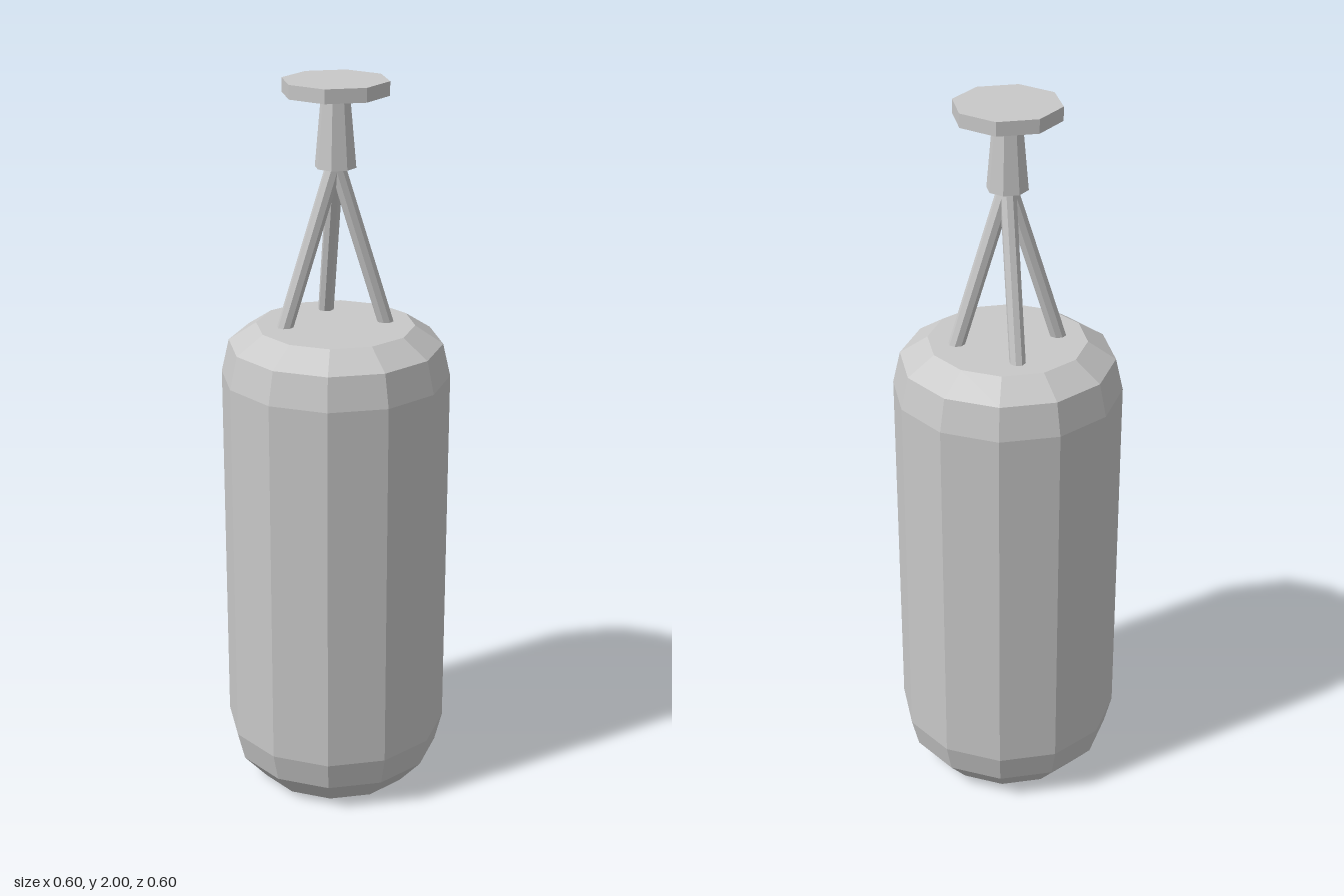
import * as THREE from 'three';

const steel = new THREE.MeshStandardMaterial({ color: 0xc8c8c8, flatShading: true });
steel.name = 'plain grey';

// Faceted solid from [flat-to-flat half width, y] rings, with flats facing the axes.
function faceted(name, sides, rings) {
  const k = 1 / Math.cos(Math.PI / sides);
  const points = [
    new THREE.Vector2(0, rings[0][1]),
    ...rings.map(([r, y]) => new THREE.Vector2(r * k, y)),
    new THREE.Vector2(0, rings[rings.length - 1][1]),
  ];
  const mesh = new THREE.Mesh(new THREE.LatheGeometry(points, sides, Math.PI / sides), steel);
  mesh.name = name;
  return mesh;
}

// Straight octagonal rod between two points.
function rod(name, from, to, radius) {
  const dir = to.clone().sub(from);
  const mesh = faceted(name, 8, [[radius, 0], [radius, dir.length()]]);
  mesh.position.copy(from);
  mesh.quaternion.setFromUnitVectors(new THREE.Vector3(0, 1, 0), dir.normalize());
  return mesh;
}

export function createModel() {
  const model = new THREE.Group();
  model.name = 'hangingBag';

  // Twelve-sided bag with bevelled ends
  model.add(faceted('bag', 12, [
    [0.215, 0], [0.28, 0.077], [0.3, 0.16], [0.3, 1.205], [0.28, 1.295], [0.207, 1.345],
  ]));

  // Three straps meeting under the hanger: left, right and back
  const apex = new THREE.Vector3(0, 1.79, 0);
  for (const [name, x, z] of [['leftStrap', 1, 0], ['rightStrap', -1, 0], ['backStrap', 0, -1]]) {
    model.add(rod(name, new THREE.Vector3(x * 0.143, 1.325, z * 0.143), apex, 0.02));
  }

  // Hanger neck and ceiling plate
  model.add(faceted('hangerNeck', 8, [[0.051, 1.773], [0.035, 1.966]]));
  model.add(faceted('ceilingPlate', 8, [[0.131, 1.963], [0.131, 2]]));

  return model;
}
